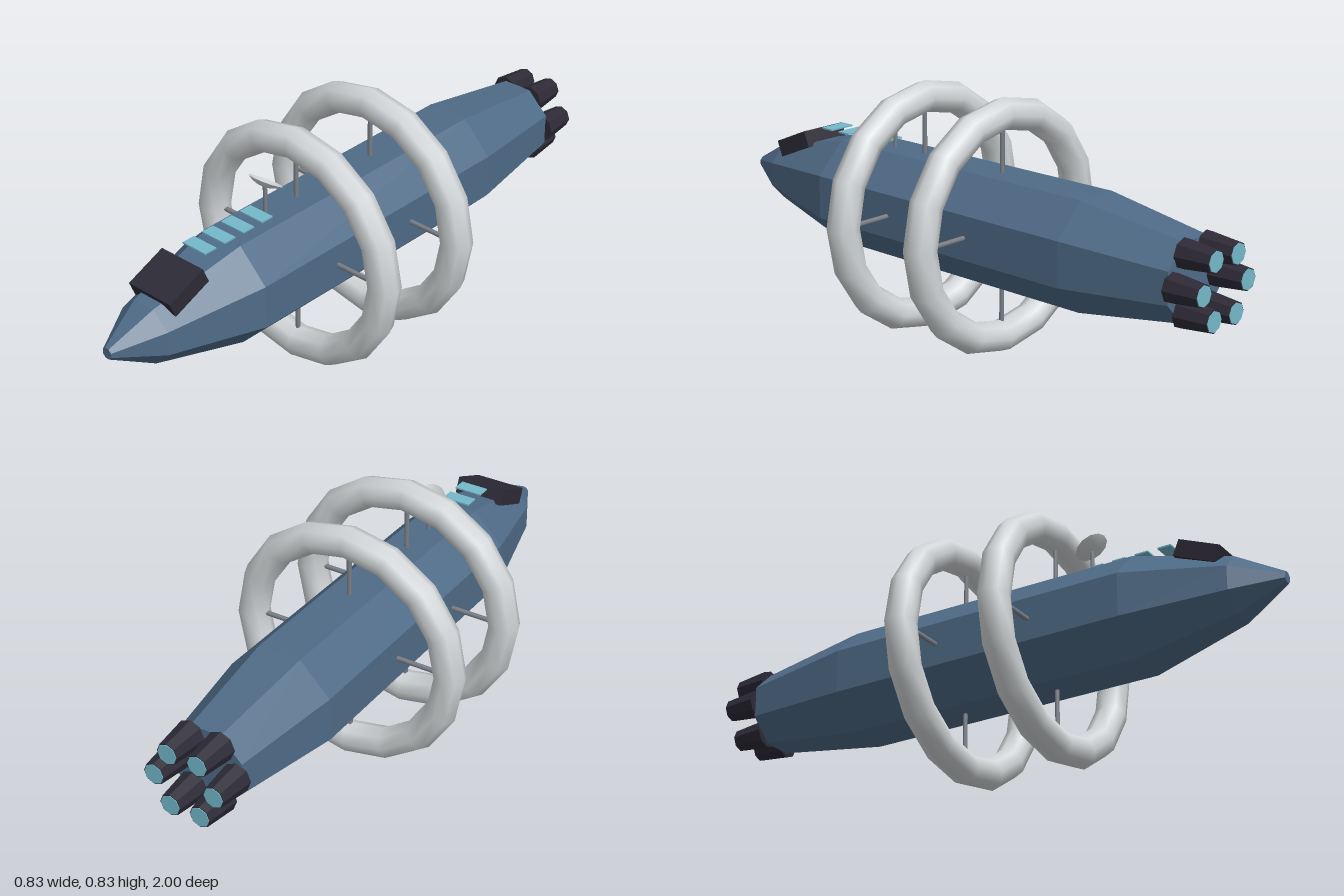
import * as THREE from 'three';

const AXIS_Y = 0.417; // height of the ship's long axis

const hullBlue = new THREE.MeshStandardMaterial({ name: 'hullBlue', color: 0x4f6b87 });
const ringWhite = new THREE.MeshStandardMaterial({ name: 'ringWhite', color: 0xd2d6d8, side: THREE.DoubleSide });
const strutGrey = new THREE.MeshStandardMaterial({ name: 'strutGrey', color: 0x7c818a });
const darkMetal = new THREE.MeshStandardMaterial({ name: 'darkMetal', color: 0x2d2a36 });
const glowCyan = new THREE.MeshStandardMaterial({ name: 'glowCyan', color: 0x74b8ca });

// Gives every face its own normal for a low-poly look
function faceted(geometry) {
  const g = geometry.toNonIndexed();
  g.computeVertexNormals();
  return g;
}

function add(parent, name, geometry, material, x = 0, y = 0, z = 0) {
  const mesh = new THREE.Mesh(geometry, material);
  mesh.name = name;
  mesh.position.set(x, y, z);
  parent.add(mesh);
  return mesh;
}

export function createModel() {
  const ship = new THREE.Group();
  ship.name = 'spaceship';

  // Octagonal hull, from stern to nose
  const profile = [[0, -0.885], [0.134, -0.885], [0.19, -0.51], [0.187, 0.525], [0.103, 0.85], [0.019, 1], [0, 1]];
  const hullGeo = new THREE.LatheGeometry(profile.map(([r, z]) => new THREE.Vector2(r, z)), 8, Math.PI / 8);
  hullGeo.rotateX(Math.PI / 2);
  add(ship, 'hull', faceted(hullGeo), hullBlue, 0, AXIS_Y, 0);

  // Two habitat rings, each carried by four spokes
  const ringGeo = new THREE.TorusGeometry(0.362, 0.052, 8, 16);
  const spokeGeo = new THREE.CylinderGeometry(0.008, 0.008, 0.18, 6);
  spokeGeo.translate(0, 0.24, 0);
  for (const z of [0.21, -0.128]) {
    const habitat = new THREE.Group();
    habitat.name = 'habitatRing';
    habitat.position.set(0, AXIS_Y, z);
    add(habitat, 'ring', ringGeo, ringWhite);
    for (let i = 0; i < 4; i++) {
      add(habitat, 'spoke', spokeGeo, strutGrey).rotation.z = i * Math.PI / 2;
    }
    ship.add(habitat);
  }

  // Bridge block, tilted to follow the nose
  add(ship, 'bridge', new THREE.BoxGeometry(0.172, 0.055, 0.147), darkMetal, 0, 0.54, 0.749).rotation.x = 0.4;

  // Row of windows above the forward deck
  for (let i = 0; i < 4; i++) {
    add(ship, 'window', new THREE.BoxGeometry(0.094, 0.005, 0.046), glowCyan, 0, 0.606, 0.385 + i * 0.079);
  }

  // Antenna mast with a shallow dish facing up and back
  add(ship, 'antennaMast', new THREE.CylinderGeometry(0.007, 0.007, 0.11, 6), strutGrey, 0, 0.635, 0.345);
  const dishProfile = [[0, -0.016], [0.02, -0.014], [0.04, -0.007], [0.056, 0.003]];
  const dishGeo = new THREE.LatheGeometry(dishProfile.map(([r, y]) => new THREE.Vector2(r, y)), 12);
  add(ship, 'antennaDish', dishGeo, ringWhite, 0, 0.701, 0.343).rotation.x = -0.55;

  // Six tapered engines in a hexagon, with glowing exhausts
  const nozzleGeo = new THREE.CylinderGeometry(0.048, 0.036, 0.115, 8);
  nozzleGeo.rotateX(Math.PI / 2);
  const nozzleFlat = faceted(nozzleGeo);
  const glowGeo = new THREE.CylinderGeometry(0.033, 0.033, 0.004, 8);
  glowGeo.rotateX(Math.PI / 2);
  const glowFlat = faceted(glowGeo);
  for (let i = 0; i < 6; i++) {
    const a = i * Math.PI / 3;
    const engine = new THREE.Group();
    engine.name = 'engine';
    engine.position.set(0.104 * Math.cos(a), AXIS_Y + 0.104 * Math.sin(a), -0.9405);
    add(engine, 'nozzle', nozzleFlat, darkMetal);
    add(engine, 'exhaustGlow', glowFlat, glowCyan, 0, 0, -0.0575);
    ship.add(engine);
  }

  return ship;
}
